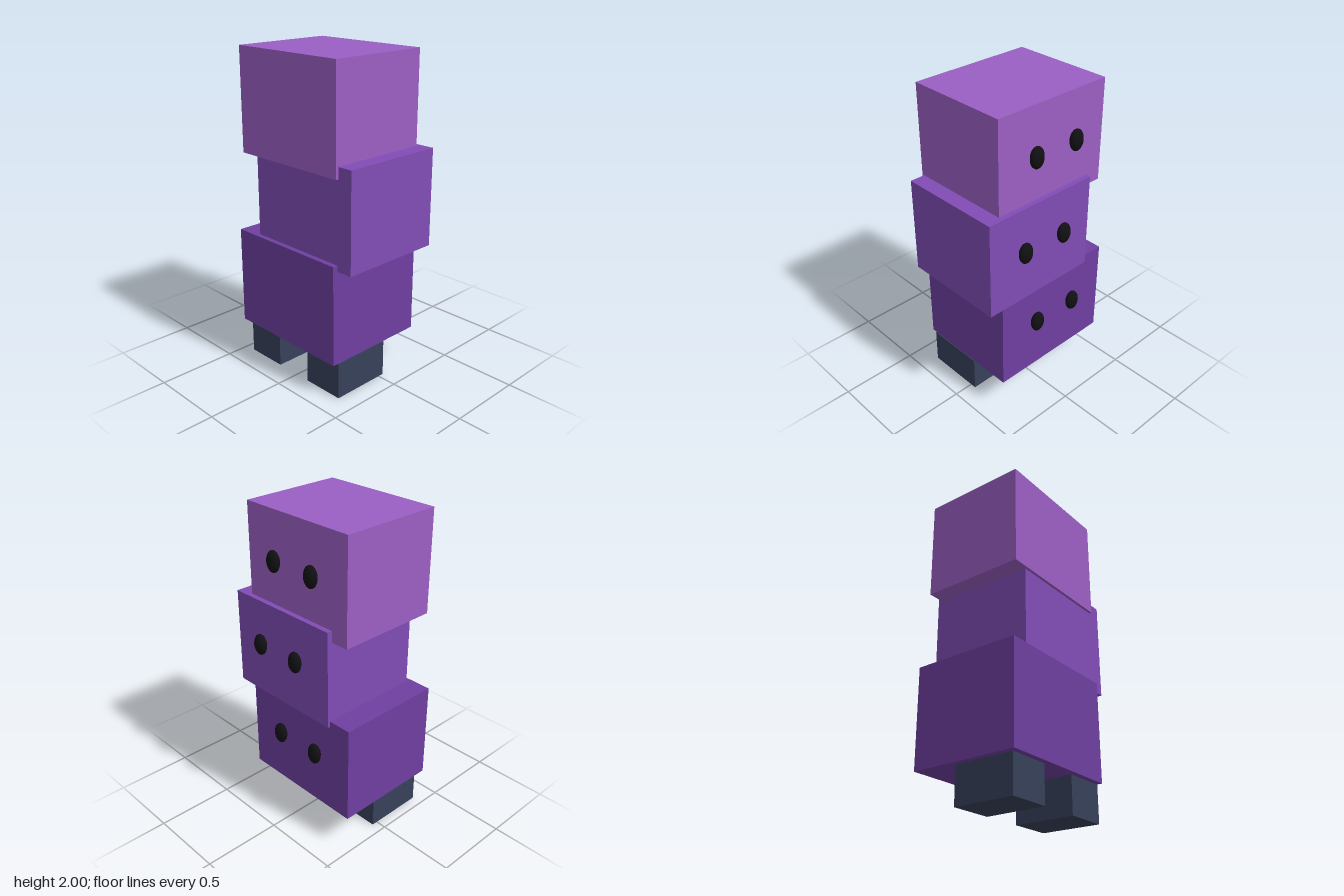
import * as THREE from 'three';

const material = (color) => new THREE.MeshStandardMaterial({ color });

// Box given by its lower and upper corners
function box(name, [x0, y0, z0], [x1, y1, z1], mat) {
  const mesh = new THREE.Mesh(new THREE.BoxGeometry(x1 - x0, y1 - y0, z1 - z0), mat);
  mesh.position.set((x0 + x1) / 2, (y0 + y1) / 2, (z0 + z1) / 2);
  mesh.name = name;
  return mesh;
}

export function createModel() {
  const model = new THREE.Group();
  model.name = 'stackedCubeCreature';

  // Three staggered blocks, each with a pair of eyes resting on its back face
  const blocks = [
    { name: 'lower', min: [-0.47, 0.23, -0.307], max: [0.366, 0.857, 0.386], color: 0x6f3fa0, eye: [-0.053, 0.585, -0.33] },
    { name: 'middle', min: [-0.317, 0.82, -0.323], max: [0.47, 1.43, 0.353], color: 0x814cb5, eye: [0.077, 1.165, -0.355] },
    { name: 'upper', min: [-0.43, 1.36, -0.29], max: [0.372, 2, 0.37], color: 0x9b5fc4, eye: [-0.03, 1.712, -0.322] },
  ];
  const eyeGeometry = new THREE.SphereGeometry(1, 16, 12);
  eyeGeometry.scale(0.047, 0.067, 0.032);
  const eyeMaterial = material(0x111114);
  for (const { name, min, max, color, eye } of blocks) {
    const group = new THREE.Group();
    group.name = `${name}Segment`;
    group.add(box(`${name}Block`, min, max, material(color)));
    for (const side of [-1, 1]) {
      const mesh = new THREE.Mesh(eyeGeometry, eyeMaterial);
      mesh.position.set(eye[0] + side * 0.153, eye[1], eye[2]);
      mesh.name = `${name}${side > 0 ? 'Left' : 'Right'}Eye`;
      group.add(mesh);
    }
    model.add(group);
  }

  // Two short feet
  const footMaterial = material(0x37415a);
  model.add(box('rightFoot', [-0.432, 0, -0.038], [-0.16, 0.23, 0.35], footMaterial));
  model.add(box('leftFoot', [0.1, 0, -0.038], [0.372, 0.23, 0.35], footMaterial));

  return model;
}
